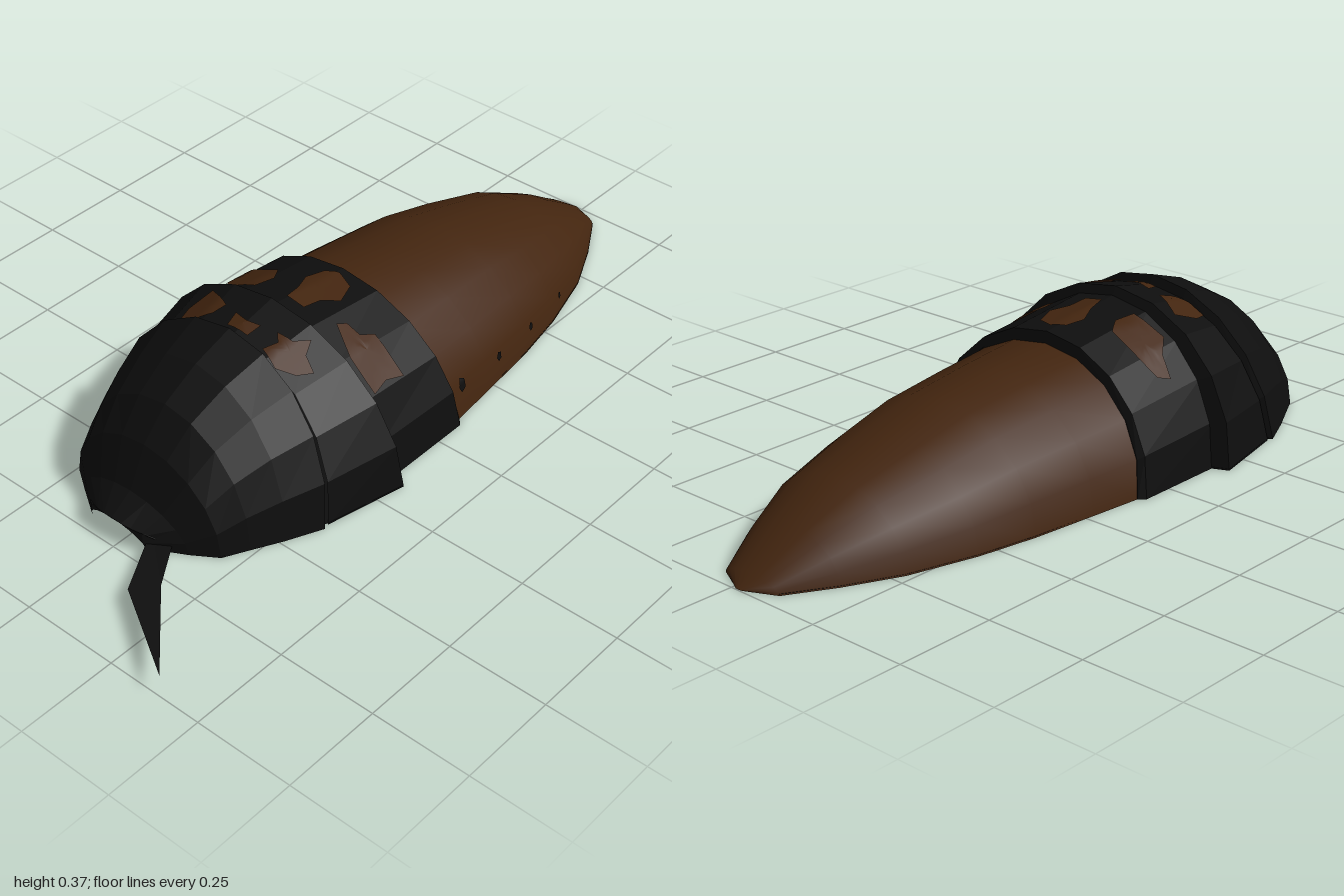
import * as THREE from 'three';

const CX = -0.02;   // body axis
const SEG = 10;     // facets over each half-ellipse arch

// Loft of half-ellipse arches; section = [zAtBase, zAtTop, halfWidth, height, lift]
function archLoft(sections, flat) {
  const pos = [], index = [];
  for (const [zb, zt, w, h, lift = 0] of sections) {
    for (let i = 0; i <= SEG; i++) {
      const a = Math.PI * i / SEG, s = Math.sin(a);
      pos.push(CX + w * Math.cos(a), lift + h * s, zb + (zt - zb) * s);
    }
  }
  const n = SEG + 1;
  for (let r = 0; r < sections.length - 1; r++) {
    for (let i = 0; i < SEG; i++) {
      const a = r * n + i, b = a + n;
      index.push(a, b, a + 1, b, b + 1, a + 1);
    }
  }
  let g = new THREE.BufferGeometry();
  g.setAttribute('position', new THREE.Float32BufferAttribute(pos, 3));
  g.setIndex(index);
  if (flat) g = g.toNonIndexed();
  g.computeVertexNormals();
  return g;
}

// Thin patch that follows a surface: a 2D outline is projected on it along dir
function surfacePatch(target, outline, toOrigin, dir) {
  const ray = new THREE.Raycaster(), rings = 4, steps = 3;
  const edge = [];
  outline.forEach((p, i) => {
    const q = outline[(i + 1) % outline.length];
    for (let k = 0; k < steps; k++) {
      const t = k / steps;
      edge.push([p[0] + (q[0] - p[0]) * t, p[1] + (q[1] - p[1]) * t]);
    }
  });
  const n = edge.length;
  const c = outline.reduce((s, p) => [s[0] + p[0] / outline.length, s[1] + p[1] / outline.length], [0, 0]);
  const pos = [], index = [];
  for (let r = 0; r <= rings; r++) {
    for (const e of edge) {
      const o = toOrigin(c[0] + (e[0] - c[0]) * r / rings, c[1] + (e[1] - c[1]) * r / rings);
      ray.set(o, dir);
      const hit = ray.intersectObject(target)[0];
      const p = hit ? hit.point : o.clone().addScaledVector(dir, 1);
      if (hit) {
        const nor = hit.face.normal.clone();
        p.addScaledVector(nor, nor.dot(dir) > 0 ? -0.005 : 0.005);
      }
      pos.push(p.x, p.y, p.z);
    }
  }
  for (let r = 0; r < rings; r++) {
    for (let i = 0; i < n; i++) {
      const a = r * n + i, b = r * n + (i + 1) % n;
      index.push(a, a + n, b, b, a + n, b + n);
    }
  }
  const g = new THREE.BufferGeometry();
  g.setAttribute('position', new THREE.Float32BufferAttribute(pos, 3));
  g.setIndex(index);
  g.computeVertexNormals();
  return g;
}

// Flat horizontal plate from [x, z] points
function plate(points, y) {
  const g = new THREE.ShapeGeometry(new THREE.Shape(points.map(([x, z]) => new THREE.Vector2(x, z))));
  g.rotateX(Math.PI / 2);
  g.translate(0, y, 0);
  return g;
}

export function createModel() {
  const group = new THREE.Group();
  const black = new THREE.MeshStandardMaterial({ color: 0x0e0e0e, side: THREE.DoubleSide });
  black.name = 'black shell';
  const brown = new THREE.MeshStandardMaterial({ color: 0x43250f, side: THREE.DoubleSide });
  brown.name = 'brown';
  const add = (name, geometry, material) => {
    const m = new THREE.Mesh(geometry, material);
    m.name = name;
    group.add(m);
    return m;
  };

  // Tapering tail half of the body
  const abdomen = add('abdomen', archLoft([
    [-0.08, -0.03, 0.322, 0.288], [-0.23, -0.22, 0.306, 0.27], [-0.4, -0.4, 0.287, 0.25],
    [-0.55, -0.55, 0.26, 0.212], [-0.72, -0.72, 0.212, 0.165], [-0.85, -0.85, 0.15, 0.1],
    [-0.96, -0.965, 0.085, 0.026], [-0.995, -1, 0.012, 0.002],
  ], false), brown);

  // Two shell bands with stepped rims
  const rearBand = add('rearBand', archLoft([
    [-0.09, -0.045, 0.3, 0.27], [-0.095, -0.05, 0.322, 0.29],
    [-0.08, -0.045, 0.336, 0.315], [0.18, 0.2, 0.336, 0.345],
  ], true), black);
  const frontBand = add('frontBand', archLoft([
    [0.155, 0.185, 0.33, 0.335], [0.175, 0.2, 0.375, 0.365], [0.385, 0.33, 0.33, 0.338],
  ], true), black);

  // Head with a lip that tucks back under
  add('head', archLoft([
    [0.385, 0.33, 0.32, 0.33], [0.4, 0.34, 0.334, 0.36], [0.49, 0.45, 0.293, 0.325],
    [0.56, 0.55, 0.256, 0.272], [0.62, 0.62, 0.225, 0.2], [0.66, 0.67, 0.165, 0.1],
    [0.712, 0.73, 0.085, 0.053, 0.007], [0.712, 0.73, 0.085, 0.008, 0.05],
    [0.66, 0.68, 0.145, 0, 0.002],
  ], true), black);

  // Flat belly
  const half = [[0.085, -0.96], [0.15, -0.85], [0.212, -0.72], [0.26, -0.55], [0.287, -0.4],
    [0.32, -0.09], [0.335, -0.08], [0.335, 0.155], [0.375, 0.175], [0.33, 0.385],
    [0.225, 0.62], [0.145, 0.66], [0.07, 0.68]];
  add('belly', plate([
    [CX, -0.995], ...half.map(([w, z]) => [CX + w, z]),
    ...half.map(([w, z]) => [CX - w, z]).reverse(),
  ], 0.004), black);

  // Belly spots
  add('bellySpotLarge', plate([[-0.1, -0.12], [-0.01, -0.13], [0.06, -0.09], [0.09, 0.03],
    [0.12, 0.14], [0.08, 0.17], [0, 0.13], [-0.07, 0.13], [-0.11, 0.03]], 0), brown);
  add('bellySpotSmall', plate([[-0.07, -0.41], [0.04, -0.42], [0.1, -0.36], [0.11, -0.27],
    [0.05, -0.2], [-0.05, -0.21], [-0.11, -0.29]], 0), brown);

  // Back spots, outlines in [x, z]
  const down = new THREE.Vector3(0, -1, 0);
  const fromAbove = (x, z) => new THREE.Vector3(x, 1, z);
  const spots = [
    [rearBand, [[-0.01, -0.02], [0.04, 0], [0.064, 0.06], [0.035, 0.1], [0.03, 0.15], [-0.02, 0.15],
      [-0.03, 0.1], [-0.052, 0.05], [-0.04, 0]]],
    [rearBand, [[-0.22, 0.052], [-0.13, 0.058], [-0.105, 0.1], [-0.115, 0.155], [-0.2, 0.162],
      [-0.23, 0.12], [-0.272, 0.1], [-0.26, 0.065]]],
    [rearBand, [[0.165, 0.06], [0.25, 0.058], [0.24, 0.11], [0.25, 0.16], [0.18, 0.165],
      [0.105, 0.125], [0.115, 0.1], [0.15, 0.095]]],
    [frontBand, [[-0.18, 0.225], [-0.15, 0.24], [-0.1, 0.265], [-0.11, 0.3], [-0.14, 0.33],
      [-0.185, 0.33], [-0.195, 0.29]]],
    [frontBand, [[-0.06, 0.275], [-0.02, 0.285], [0.015, 0.275], [0.01, 0.315], [-0.05, 0.315]]],
    [frontBand, [[0.12, 0.225], [0.135, 0.26], [0.172, 0.275], [0.15, 0.31], [0.11, 0.335],
      [0.06, 0.32], [0.075, 0.285], [0.055, 0.265], [0.095, 0.26]]],
  ];
  spots.forEach(([band, outline], i) =>
    add('backSpot' + (i + 1), surfacePatch(band, outline, fromAbove, down), brown));

  // Small dots low on the left flank, placed in [z, y]
  const inward = new THREE.Vector3(-1, 0, 0);
  const fromLeft = (z, y) => new THREE.Vector3(1, y, z);
  [[-0.12, 0.08, 0.014], [-0.28, 0.065, 0.01], [-0.43, 0.06, 0.009], [-0.59, 0.05, 0.007]]
    .forEach(([z, y, r], i) => {
      const dot = [0, 1, 2, 3, 4].map(k => [z + r * Math.cos(k * 1.2566), y + r * 1.3 * Math.sin(k * 1.2566)]);
      add('flankDot' + (i + 1), surfacePatch(abdomen, dot, fromLeft, inward), black);
    });

  // Single thin feeler, bent and rising toward its tip
  const feeler = plate([[0.04, 0.67], [0.11, 0.675], [0.19, 0.79], [0.39, 0.995], [0.15, 0.85]], 0);
  const p = feeler.attributes.position;
  for (let i = 0; i < p.count; i++) p.setY(i, 0.02 + 0.11 * (p.getZ(i) - 0.68));
  feeler.computeVertexNormals();
  add('feeler', feeler, black);

  return group;
}
